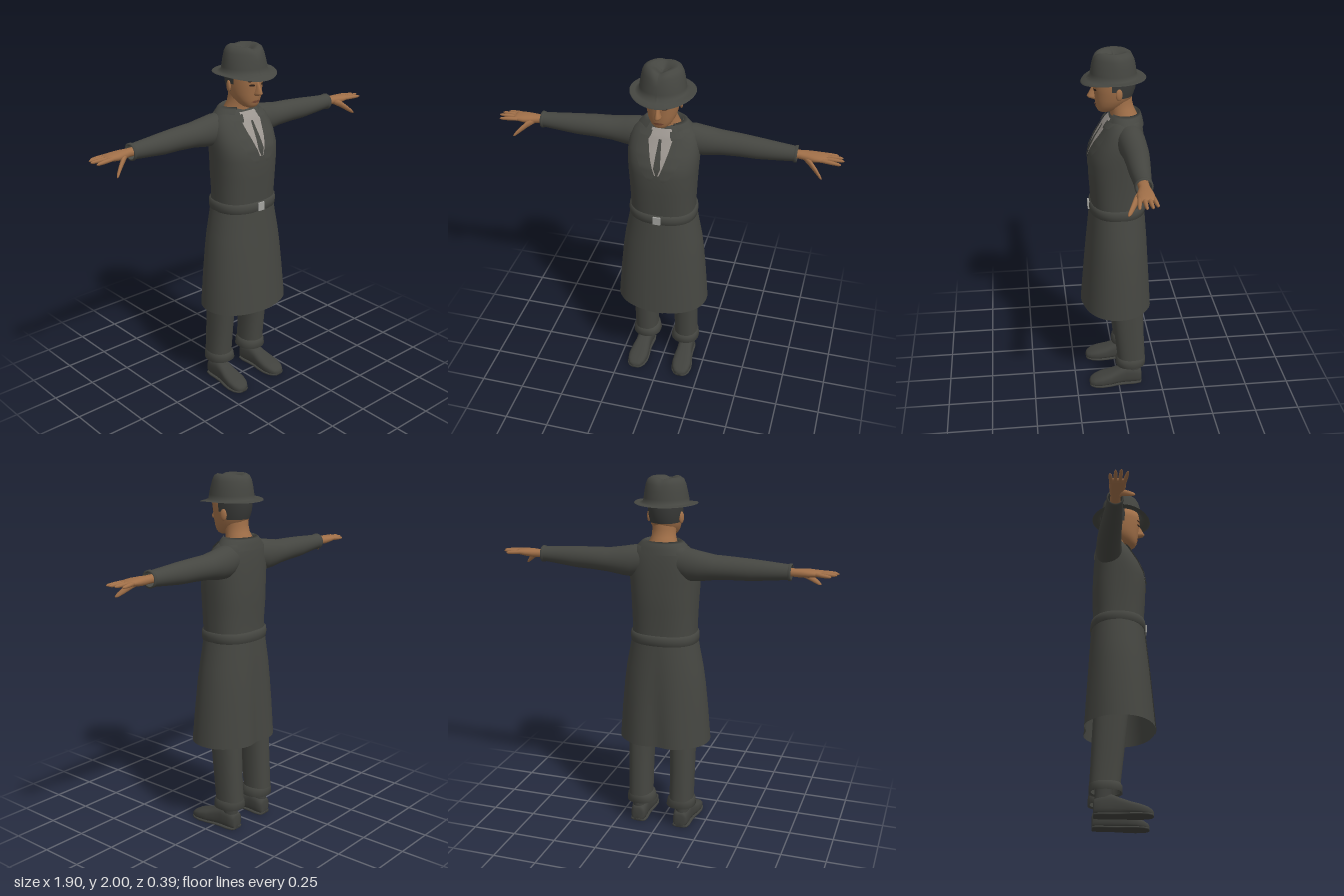
import * as THREE from 'three';

const paint = (name, color) => {
  const m = new THREE.MeshStandardMaterial({ color, side: THREE.DoubleSide });
  m.name = name;
  return m;
};

// Lofted skin. Sections are [position along axis, centre a, centre b, radius a, radius b],
// with (a, b) = (z, x) on axis y, (y, z) on axis x and (x, y) on axis z.
const AXES = { x: [0, 1, 2], y: [1, 2, 0], z: [2, 0, 1] };
function loft(axis, secs, { segs = 32, n = 2, cap = false, from = 0, to = Math.PI * 2, fold = () => 1 } = {}) {
  const [k, ka, kb] = AXES[axis], pos = [], idx = [];
  const full = to - from > 6.28, cols = full ? segs : segs + 1;
  const put = (t, a, b) => { const p = [0, 0, 0]; p[k] = t; p[ka] = a; p[kb] = b; pos.push(...p); };
  const pow = v => Math.sign(v) * Math.abs(v) ** (2 / n);
  for (const [t, a, b, ra, rb] of secs) {
    for (let j = 0; j < cols; j++) {
      const th = from + (to - from) * j / segs, f = fold(th, t);
      put(t, a + ra * f * pow(Math.cos(th)), b + rb * f * pow(Math.sin(th)));
    }
  }
  for (let i = 0; i < secs.length - 1; i++) {
    for (let j = 0; j < segs; j++) {
      const p = i * cols + j, q = i * cols + (j + 1) % cols;
      idx.push(p, q, p + cols, q, q + cols, p + cols);
    }
  }
  if (cap) {
    const c0 = pos.length / 3, last = (secs.length - 1) * cols;
    put(...secs[0].slice(0, 3));
    put(...secs[secs.length - 1].slice(0, 3));
    for (let j = 0; j < segs; j++) {
      const j2 = (j + 1) % cols;
      idx.push(c0, j2, j, c0 + 1, last + j, last + j2);
    }
  }
  return finish(pos, idx);
}

function finish(pos, idx) {
  const g = new THREE.BufferGeometry();
  g.setAttribute('position', new THREE.Float32BufferAttribute(pos, 3));
  g.setIndex(idx);
  g.computeVertexNormals();
  return g;
}

// Thin layer lying on the front of a y loft; rows are [y, x from, x to], bottom to top
function patch(secs, rows, lift, n = 2) {
  const pos = [], idx = [], C = 8, R = 6;
  const mix = (a, b, t) => a.map((v, i) => v + (b[i] - v) * t);
  const all = [];
  for (let i = 0; i < rows.length - 1; i++) for (let s = 0; s < R; s++) all.push(mix(rows[i], rows[i + 1], s / R));
  all.push(rows[rows.length - 1]);
  for (const [y, x0, x1] of all) {
    let i = 0;
    while (i < secs.length - 2 && secs[i + 1][0] < y) i++;
    const [, cz, , rz, rx] = mix(secs[i], secs[i + 1], (y - secs[i][0]) / (secs[i + 1][0] - secs[i][0]));
    for (let c = 0; c <= C; c++) {
      const x = x0 + (x1 - x0) * c / C;
      pos.push(x, y, cz + lift + rz * Math.max(0, 1 - (Math.abs(x) / rx) ** n) ** (1 / n));
    }
  }
  for (let r = 0; r < all.length - 1; r++) {
    for (let c = 0; c < C; c++) {
      const p = r * (C + 1) + c, q = p + C + 1;
      idx.push(p, p + 1, q, p + 1, q + 1, q);
    }
  }
  return finish(pos, idx);
}

function mirrored(geo) {
  const g = geo.clone().scale(-1, 1, 1), a = g.index.array;
  for (let i = 0; i < a.length; i += 3) [a[i], a[i + 1]] = [a[i + 1], a[i]];
  g.computeVertexNormals();
  return g;
}

export function createModel() {
  const model = new THREE.Group();
  model.name = 'manInOvercoat';
  const coat = paint('charcoal cloth', 0x454641), skin = paint('skin', 0xa06f48);
  const hair = paint('hair', 0x393a38), shirt = paint('shirt grey', 0x9c9690);
  const metal = paint('buckle metal', 0xa3a39f), dark = paint('eye and brow brown', 0x2e211a);
  const lip = paint('lips', 0x7c4c36), shoe = paint('shoe leather', 0x40413d);
  const add = (name, geo, mat) => {
    const m = new THREE.Mesh(geo, mat);
    m.name = name;
    model.add(m);
    return m;
  };
  const pair = (name, geo, mat) => { add('left' + name, geo, mat); add('right' + name, mirrored(geo), mat); };

  // Coat body with soft creases down the sides
  const torso = [
    [1.10, -0.005, 0, 0.145, 0.180], [1.20, 0, 0, 0.145, 0.180], [1.30, 0, 0, 0.152, 0.184],
    [1.40, 0.002, 0, 0.153, 0.190], [1.46, -0.002, 0, 0.147, 0.194], [1.52, -0.015, 0, 0.132, 0.194],
    [1.57, -0.028, 0, 0.114, 0.186], [1.61, -0.037, 0, 0.100, 0.168], [1.64, -0.045, 0, 0.085, 0.135],
    [1.66, -0.047, 0, 0.070, 0.090]];
  const tn = 2.4;
  add('coatBody', loft('y', torso, { segs: 56, n: tn }), coat);

  // Coat skirt, flared, with a pleat at the back
  const skirt = [
    [0.51, 0.003, 0, 0.197, 0.262], [0.70, 0, 0, 0.184, 0.247], [0.85, -0.002, 0, 0.173, 0.232],
    [0.95, -0.004, 0, 0.165, 0.218], [1.05, -0.005, 0, 0.156, 0.198], [1.12, -0.005, 0, 0.150, 0.186]];
  const pleat = (th, y) => {
    const d = th - Math.PI, drop = (1.12 - y) / 0.61;
    return 1 + drop * (0.03 * Math.exp(-((Math.abs(d) - 0.45) ** 2) / 0.04) - 0.09 * Math.exp(-(d * d) / 0.03));
  };
  add('coatSkirt', loft('y', skirt, { segs: 72, n: 2.15, fold: pleat }), coat);
  add('skirtOverlap', patch(skirt, [[0.511, -0.06, 0.05], [1.11, -0.06, 0.05]], 0.005, 2.15), coat);

  // Belt and buckle
  add('belt', loft('y', [
    [1.098, -0.004, 0, 0.145, 0.180], [1.10, -0.004, 0, 0.155, 0.189], [1.127, -0.004, 0, 0.158, 0.192],
    [1.152, -0.004, 0, 0.155, 0.189], [1.156, -0.004, 0, 0.140, 0.176]], { segs: 56, n: 2.3 }), coat);
  add('buckle', new THREE.BoxGeometry(0.042, 0.046, 0.012).translate(0, 1.128, 0.154), metal);

  // Shirt front, tie, lapels and collar
  add('shirtFront', patch(torso, [[1.42, -0.012, 0.012], [1.50, -0.042, 0.042], [1.60, -0.066, 0.066], [1.645, -0.052, 0.052]], 0.004, tn), shirt);
  add('tie', patch(torso, [[1.42, -0.004, 0.004], [1.46, -0.019, 0.019], [1.60, -0.007, 0.007]], 0.007, tn), coat);
  pair('Lapel', patch(torso, [[1.385, 0.028, 0.042], [1.42, 0.014, 0.076], [1.50, 0.040, 0.120], [1.55, 0.055, 0.128], [1.60, 0.066, 0.112], [1.63, 0.058, 0.105]], 0.007, tn), coat);
  pair('CollarTip', patch(torso, [[1.60, 0.060, 0.075], [1.615, 0.052, 0.118], [1.638, 0.046, 0.122]], 0.013, tn), coat);
  add('collar', loft('y', [
    [1.605, -0.042, 0, 0.104, 0.168], [1.635, -0.044, 0, 0.096, 0.143], [1.662, -0.045, 0, 0.087, 0.118],
    [1.672, -0.043, 0, 0.079, 0.100], [1.63, -0.043, 0, 0.070, 0.085]], { segs: 40, from: 0.62, to: 5.66 }), coat);

  // Sleeves, open at the wrist
  pair('Sleeve', loft('x', [
    [0.10, 1.555, -0.058, 0.082, 0.072], [0.16, 1.548, -0.062, 0.088, 0.076], [0.22, 1.545, -0.066, 0.080, 0.072],
    [0.30, 1.545, -0.068, 0.067, 0.068], [0.40, 1.546, -0.065, 0.062, 0.062], [0.50, 1.544, -0.060, 0.058, 0.056],
    [0.60, 1.545, -0.056, 0.049, 0.048], [0.69, 1.546, -0.053, 0.041, 0.041], [0.692, 1.546, -0.053, 0.046, 0.046],
    [0.705, 1.546, -0.053, 0.046, 0.046], [0.706, 1.546, -0.053, 0.038, 0.038]]), coat);

  // Hands
  pair('Palm', loft('x', [
    [0.64, 1.546, -0.053, 0.022, 0.028], [0.72, 1.546, -0.053, 0.021, 0.027], [0.76, 1.546, -0.050, 0.023, 0.036],
    [0.80, 1.547, -0.047, 0.021, 0.043], [0.84, 1.549, -0.047, 0.016, 0.043], [0.862, 1.549, -0.047, 0.009, 0.036]],
  { segs: 20, n: 2.3, cap: true }), skin);
  const fingers = [[-0.080, 0.915, -0.090, 1.544], [-0.059, 0.940, -0.063, 1.549], [-0.036, 0.948, -0.034, 1.550], [-0.014, 0.936, 0.000, 1.546]];
  fingers.forEach(([z0, tip, z1, y1], i) => {
    const at = (t, r) => [0.835 + (tip - 0.835) * t, 1.549 + (y1 - 1.549) * t, z0 + (z1 - z0) * t, r, r];
    pair('Finger' + (i + 1), loft('x', [at(0, 0.011), at(0.5, 0.0105), at(0.88, 0.008), at(1, 0.003)], { segs: 10, cap: true }), skin);
  });
  pair('Thumb', loft('x', [
    [0.742, 1.543, -0.036, 0.016, 0.014], [0.78, 1.526, -0.010, 0.020, 0.015], [0.815, 1.498, 0.013, 0.016, 0.012],
    [0.838, 1.478, 0.030, 0.011, 0.010], [0.848, 1.470, 0.037, 0.004, 0.004]], { segs: 12, cap: true }), skin);

  // Trousers with turned-up cuffs
  pair('TrouserLeg', loft('y', [
    [0.14, -0.075, 0.124, 0.083, 0.070], [0.18, -0.076, 0.124, 0.081, 0.068], [0.35, -0.062, 0.124, 0.086, 0.068],
    [0.52, -0.050, 0.122, 0.092, 0.072], [0.70, -0.035, 0.108, 0.098, 0.085]], { n: 2.3 }), coat);
  pair('TrouserCuff', loft('y', [
    [0.135, -0.073, 0.120, 0.076, 0.070], [0.128, -0.072, 0.120, 0.088, 0.084], [0.165, -0.073, 0.122, 0.087, 0.078],
    [0.178, -0.075, 0.124, 0.081, 0.069]], { n: 2.2 }), coat);

  // Shoes and socks
  pair('Sock', loft('y', [[0.07, -0.085, 0.132, 0.046, 0.038], [0.14, -0.083, 0.130, 0.046, 0.040], [0.30, -0.070, 0.126, 0.055, 0.045]], { segs: 20 }), shoe);
  const last = [
    [-0.136, 0.128, 0.078, 0.026], [-0.130, 0.128, 0.092, 0.040], [-0.095, 0.129, 0.112, 0.047], [-0.045, 0.131, 0.118, 0.045],
    [0.00, 0.133, 0.100, 0.046], [0.05, 0.136, 0.080, 0.055], [0.10, 0.138, 0.066, 0.058], [0.14, 0.140, 0.052, 0.050],
    [0.164, 0.141, 0.038, 0.034], [0.172, 0.141, 0.028, 0.016]];
  pair('Shoe', loft('z', last.map(([z, x, top, r]) => [z, x, top / 2, r, top / 2]), { segs: 28, n: 2.8, cap: true }), shoe);
  pair('ShoeSole', loft('z', last.map(([z, x, , r]) => [z, x, 0.007, r + 0.004, 0.007]), { segs: 20, n: 4, cap: true }), shoe);

  // Neck and head
  add('neck', loft('y', [
    [1.60, -0.048, 0, 0.085, 0.095], [1.65, -0.042, 0, 0.072, 0.080], [1.69, -0.028, 0, 0.066, 0.066],
    [1.73, -0.018, 0, 0.066, 0.064], [1.78, -0.015, 0, 0.070, 0.066]]), skin);
  const head = [
    [1.672, 0.066, 0, 0.018, 0.020], [1.68, 0.056, 0, 0.042, 0.038], [1.695, 0.046, 0, 0.060, 0.054],
    [1.72, 0.031, 0, 0.080, 0.070], [1.75, 0.017, 0, 0.099, 0.080], [1.79, 0.012, 0, 0.108, 0.087],
    [1.84, 0.013, 0, 0.115, 0.090], [1.89, 0.010, 0, 0.110, 0.088]];
  add('head', loft('y', head, { n: 2.15, cap: true }), skin);
  add('nose', loft('y', [
    [1.744, 0.116, 0, 0.010, 0.012], [1.752, 0.119, 0, 0.030, 0.020], [1.762, 0.120, 0, 0.036, 0.018],
    [1.785, 0.118, 0, 0.025, 0.011], [1.815, 0.116, 0, 0.012, 0.010], [1.835, 0.114, 0, 0.008, 0.010]], { segs: 14, cap: true }), skin);
  pair('Ear', new THREE.SphereGeometry(1, 14, 10).scale(0.010, 0.032, 0.019).rotateY(0.3).translate(0.092, 1.788, -0.006), skin);
  pair('Eye', patch(head, [[1.798, 0.026, 0.044], [1.803, 0.020, 0.050], [1.809, 0.026, 0.046]], 0.003, 2.15), dark);
  pair('Eyebrow', patch(head, [[1.823, 0.016, 0.054], [1.831, 0.018, 0.060]], 0.004, 2.15), dark);
  add('mouth', patch(head, [[1.704, -0.014, 0.014], [1.711, -0.030, 0.030], [1.718, -0.014, 0.014]], 0.004, 2.15), lip);

  // Hair behind the ears, with sideburns
  const grow = head.slice(4).map(([y, z, x, a, b]) => [y + 0.012, z - 0.001, x, a + 0.004, b + 0.004]);
  add('hair', loft('y', grow, { n: 2.15, from: 1.72, to: Math.PI * 2 - 1.72 }), hair);
  pair('Sideburn', loft('y', grow.slice(1), { segs: 6, n: 2.15, from: 1.42, to: 1.74 }), hair);

  // Hat: brim dips at the front, crown is pinched and creased on top
  const profile = [[0.173, 1.862], [0.168, 1.866], [0.145, 1.862], [0.125, 1.866], [0.122, 1.89], [0.116, 1.93],
    [0.109, 1.965], [0.098, 1.988], [0.080, 1.999], [0.060, 1.998], [0.038, 1.987], [0.015, 1.978], [0, 1.976]];
  const hat = new THREE.LatheGeometry(profile.map(p => new THREE.Vector2(...p)), 56);
  const p = hat.attributes.position;
  for (let i = 0; i < p.count; i++) {
    let x = p.getX(i), y = p.getY(i);
    const z = p.getZ(i), r = Math.hypot(x, z);
    if (y < 1.87 && r > 0.126) y -= ((r - 0.125) / 0.048) * (z > 0 ? 0.026 : 0.004) * (z / 0.173) ** 2;
    const high = Math.max(0, (y - 1.89) / 0.11);
    if (z > 0) x *= 1 - 0.22 * high * (z / 0.12);
    if (high > 0.6) y -= 0.014 * Math.exp(-((x / 0.025) ** 2)) * (z > 0 ? 1 : 0.5);
    p.setXYZ(i, x, y, z + 0.015);
  }
  hat.computeVertexNormals();
  add('hat', hat, coat);

  return model;
}
